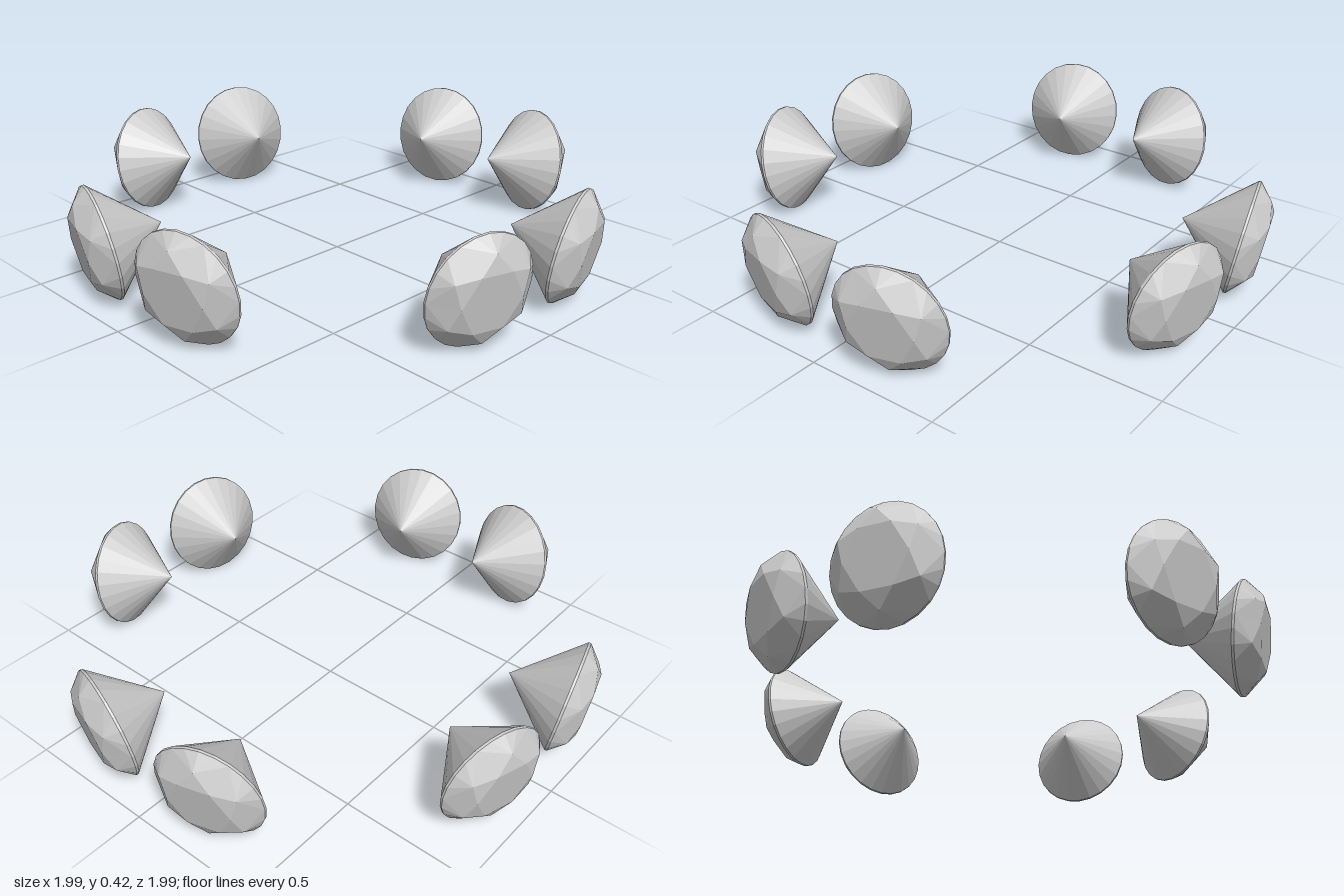
import * as THREE from 'three';

const FOLD = 6, PER = 4, N = FOLD * PER; // crown symmetry, girdle sides per sector
const RAD = Math.PI / 180;

// Point on a ring around the gem's axis (local +z), slightly oval in y
const ring = (r, z, turn) => {
  const a = turn * Math.PI * 2;
  return [r * Math.cos(a), r * 1.05 * Math.sin(a), z];
};

function gemGeometry() {
  const pos = [];
  const tri = (a, b, c) => pos.push(...a, ...b, ...c);
  const table = k => ring(0.115, 0.078, k / FOLD);
  const mid = k => ring(0.16, 0.058, (k + 0.5) / FOLD);
  const upper = i => ring(0.2, 0.005, i / N);
  const lower = i => ring(0.2, -0.004, i / N);
  const top = [0, 0, 0.078], tip = [0, 0, -0.219];

  // Crown: flat table, star facets, kites and girdle facets
  for (let k = 0; k < FOLD; k++) {
    const g = k * PER;
    tri(top, table(k), table(k + 1));
    tri(table(k), mid(k), table(k + 1));
    tri(table(k), mid(k - 1), upper(g));
    tri(table(k), upper(g), mid(k));
    for (let j = 0; j < PER; j++) tri(mid(k), upper(g + j), upper(g + j + 1));
  }
  // Thin girdle band and pointed pavilion
  for (let i = 0; i < N; i++) {
    tri(upper(i), lower(i), lower(i + 1));
    tri(upper(i), lower(i + 1), upper(i + 1));
    tri(tip, lower(i + 1), lower(i));
  }
  const geo = new THREE.BufferGeometry();
  geo.setAttribute('position', new THREE.Float32BufferAttribute(pos, 3));
  geo.computeVertexNormals();
  return geo;
}

export function createModel() {
  const model = new THREE.Group();
  model.name = 'gemRing';
  const geo = gemGeometry();
  const mat = new THREE.MeshStandardMaterial({ color: 0xcccccc, flatShading: true });

  // A mirrored pair of gems on each of the four sides, tables facing out and a little down
  for (let q = 0; q < 4; q++) {
    const side = new THREE.Group();
    side.name = 'gemPair' + (q + 1);
    side.rotation.y = q * Math.PI / 2;
    for (const s of [1, -1]) {
      const gem = new THREE.Mesh(geo, mat);
      gem.name = s > 0 ? 'leftGem' : 'rightGem';
      gem.position.set(s * 0.246, 0.21, 0.889);
      gem.rotation.set(9.7 * RAD, s * 16.7 * RAD, 0, 'YXZ');
      side.add(gem);
    }
    model.add(side);
  }
  return model;
}
